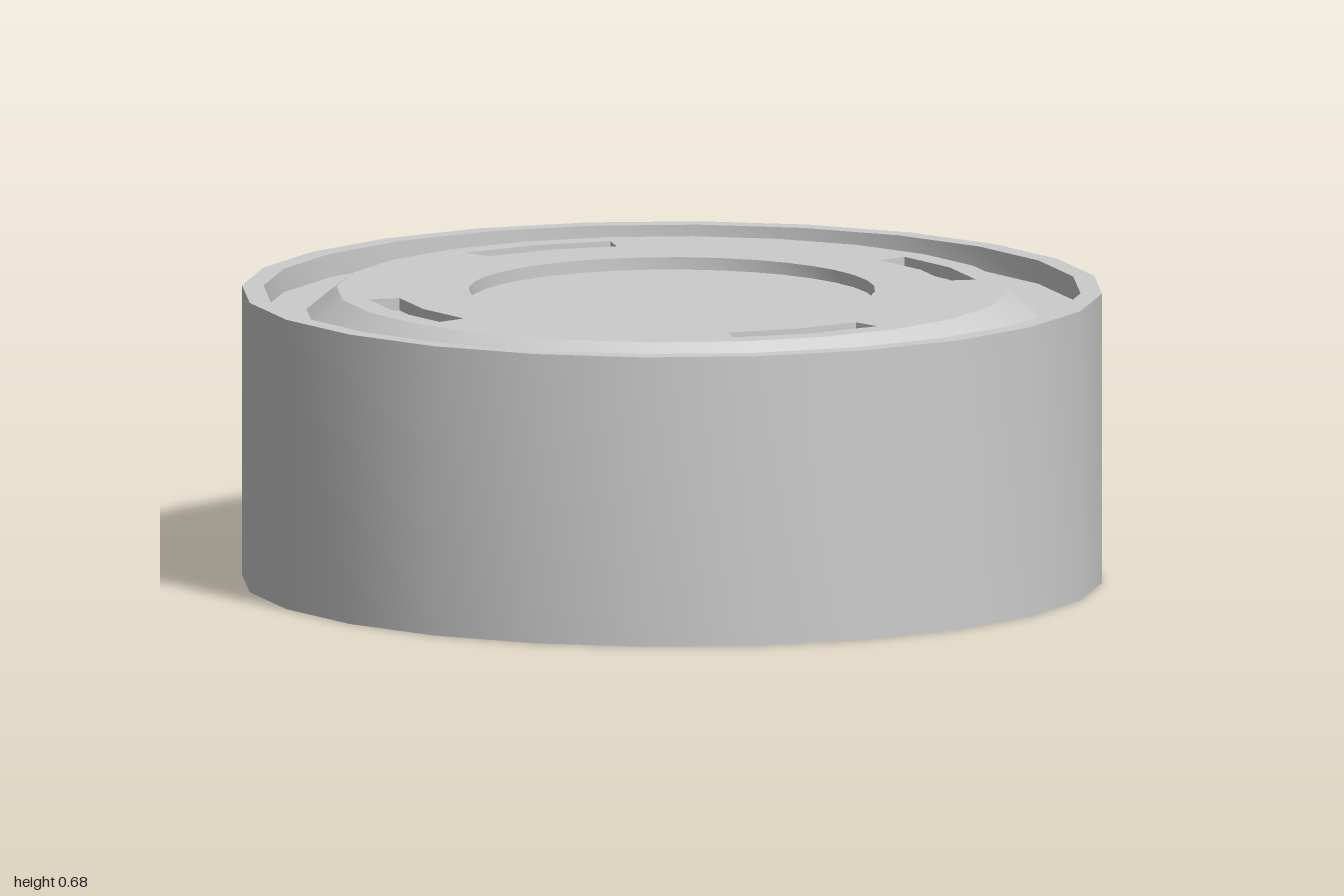
import * as THREE from 'three';
import { toCreasedNormals } from 'three/addons/utils/BufferGeometryUtils.js';

const SIDES = 24;
const material = new THREE.MeshStandardMaterial({ color: 0xcccccc });

function addMesh(parent, name, geometry) {
  const mesh = new THREE.Mesh(toCreasedNormals(geometry, 0.5), material);
  mesh.name = name;
  parent.add(mesh);
  return mesh;
}

// Turned part from [radius, height] pairs, running counter-clockwise
function turned(profile, sides = SIDES) {
  return new THREE.LatheGeometry(profile.map(([r, y]) => new THREE.Vector2(r, y)), sides);
}

// Points along an arc
function arc(radius, from, to, steps) {
  return Array.from({ length: steps + 1 }, (_, i) => {
    const a = from + ((to - from) * i) / steps;
    return new THREE.Vector2(radius * Math.cos(a), radius * Math.sin(a));
  });
}

// Flared, open-ended nozzle with a thin wall
function nozzle(exit, throat, bottom, top) {
  const wall = 0.01;
  const heights = [0, 0.25, 0.5, 0.75, 1];
  const radius = (t) => exit + (throat - exit) * Math.pow(t, 1.25);
  const outer = heights.map((t) => [radius(t), bottom + t * (top - bottom)]);
  const inner = outer.map(([r, y]) => [r - wall, y]).reverse();
  return turned([...outer, ...inner, outer[0]], 32);
}

export function createModel() {
  const model = new THREE.Group();
  model.name = 'engineSection';

  // Shell with top channel and tapered underside housing
  addMesh(model, 'shell', turned([
    [0, 0.45], [0.71, 0.45], [0.71, 0.23], [0.75, 0.23], [0.93, 0.6], [0.97, 0.6],
    [0.97, 0], [1, 0], [1, 0.68], [0.95, 0.68], [0.95, 0.625], [0.85, 0.625], [0.78, 0.68],
  ]));

  // Top plate with a round recess and four curved slots
  const plate = new THREE.Shape(arc(0.78, 0, Math.PI * 2, SIDES).slice(0, -1));
  plate.holes.push(new THREE.Path(arc(0.472, 0, Math.PI * 2, 36).slice(0, -1)));
  const half = Math.PI / 12;
  for (let i = 0; i < 4; i++) {
    const mid = (i * Math.PI) / 2;
    plate.holes.push(new THREE.Path([
      ...arc(0.72, mid - half, mid + half, 2),
      ...arc(0.645, mid + half, mid - half, 2),
    ]));
  }
  const plateGeometry = new THREE.ExtrudeGeometry(plate, { depth: 0.03, bevelEnabled: false });
  plateGeometry.rotateX(-Math.PI / 2);
  addMesh(model, 'topPlate', plateGeometry).position.y = 0.65;

  // Floor of the recess and slots
  const floor = new THREE.CircleGeometry(0.78, SIDES).rotateX(-Math.PI / 2);
  addMesh(model, 'recessFloor', floor).position.y = 0.651;

  // One large nozzle ringed by eight small ones
  const nozzles = new THREE.Group();
  nozzles.name = 'nozzles';
  model.add(nozzles);
  addMesh(nozzles, 'centreNozzle', nozzle(0.256, 0.19, 0.135, 0.45));
  const small = nozzle(0.17, 0.1, 0.135, 0.45);
  for (let i = 0; i < 8; i++) {
    const a = (i * Math.PI) / 4;
    addMesh(nozzles, 'outerNozzle', small)
      .position.set(0.53 * Math.cos(a), 0, 0.53 * Math.sin(a));
  }
  return model;
}
